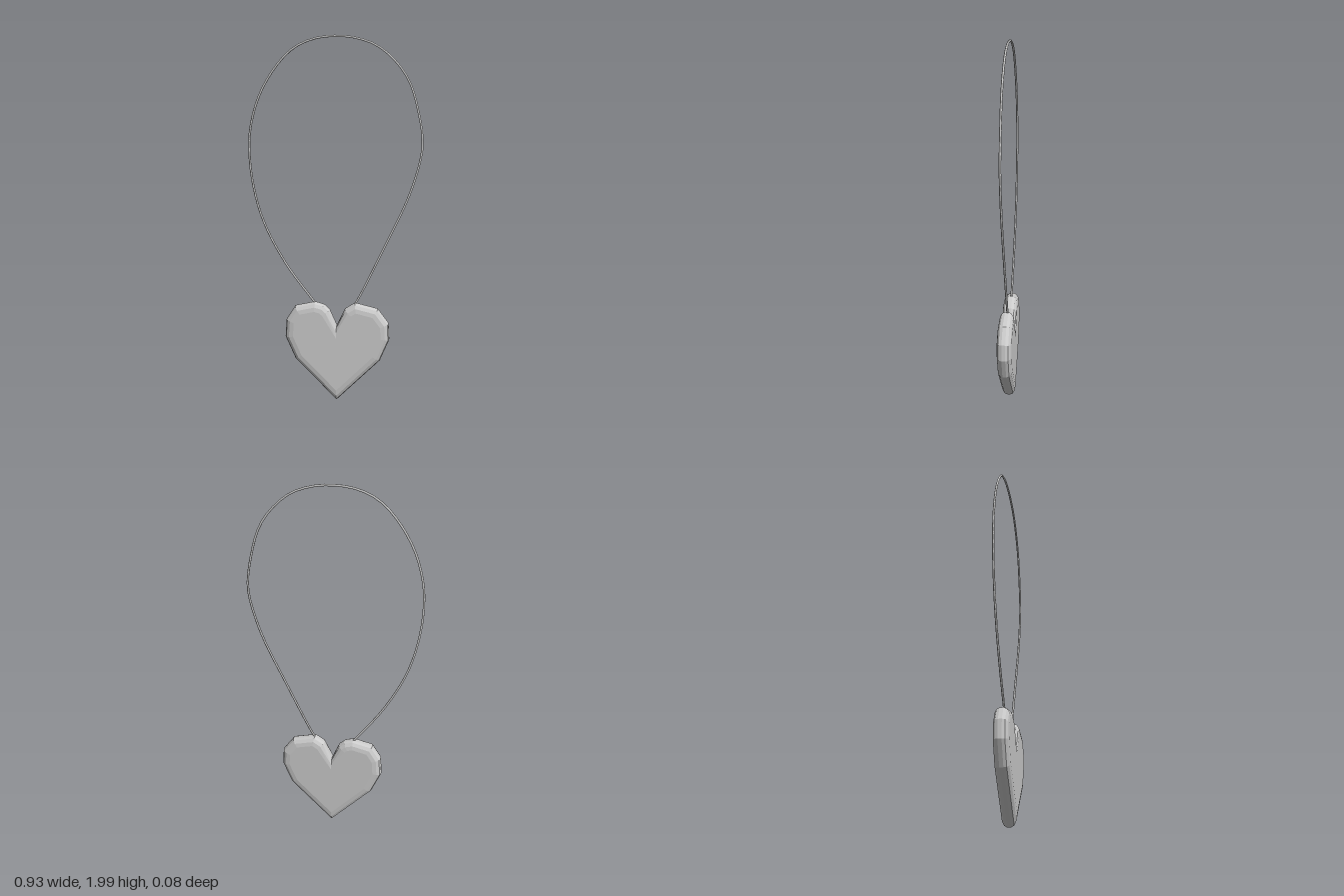
import * as THREE from 'three';

const vectors = (pairs) => pairs.map(([x, y]) => new THREE.Vector2(x, y));

// Heart outline, anticlockwise from the bottom tip
const HEART = [
  [0.01, 0.01], [0.25, 0.25], [0.30, 0.37], [0.295, 0.46], [0.235, 0.54], [0.11, 0.57], [0.055, 0.535],
  [0.01, 0.44], [-0.03, 0.53], [-0.06, 0.556], [-0.11, 0.57], [-0.22, 0.545], [-0.268, 0.47],
  [-0.275, 0.37], [-0.22, 0.245],
];

// Cord centre line, from the left lobe over the top to the right lobe
const CORD = [
  [-0.10, 0.55], [-0.115, 0.57], [-0.27, 0.78], [-0.39, 1.01], [-0.445, 1.21], [-0.463, 1.39], [-0.453, 1.53],
  [-0.40, 1.70], [-0.31, 1.845], [-0.22, 1.933], [-0.115, 1.98], [0, 1.994], [0.11, 1.983], [0.22, 1.943],
  [0.325, 1.853], [0.39, 1.755], [0.435, 1.61], [0.46, 1.47], [0.456, 1.385], [0.40, 1.18], [0.27, 0.89],
  [0.115, 0.57], [0.10, 0.55],
];

export function createModel() {
  const group = new THREE.Group();
  group.name = 'heartNecklace';

  // Faceted heart pendant with rounded rims on both faces
  const heartGeometry = new THREE.ExtrudeGeometry(new THREE.Shape(vectors(HEART)), {
    depth: 0.02, bevelEnabled: true, bevelThickness: 0.03, bevelSize: 0.045, bevelOffset: -0.045, bevelSegments: 3,
  });
  heartGeometry.translate(0, 0, -0.01);
  const pendant = new THREE.Mesh(
    heartGeometry, new THREE.MeshStandardMaterial({ color: 0xcccccc, flatShading: true }));
  pendant.name = 'pendant';
  group.add(pendant);

  // Thin cord looping up from the two lobes
  const path = new THREE.CatmullRomCurve3(CORD.map(([x, y]) => new THREE.Vector3(x, y, -0.004)));
  const cord = new THREE.Mesh(
    new THREE.TubeGeometry(path, 72, 0.006, 6), new THREE.MeshStandardMaterial({ color: 0xcccccc }));
  cord.name = 'cord';
  group.add(cord);

  return group;
}
